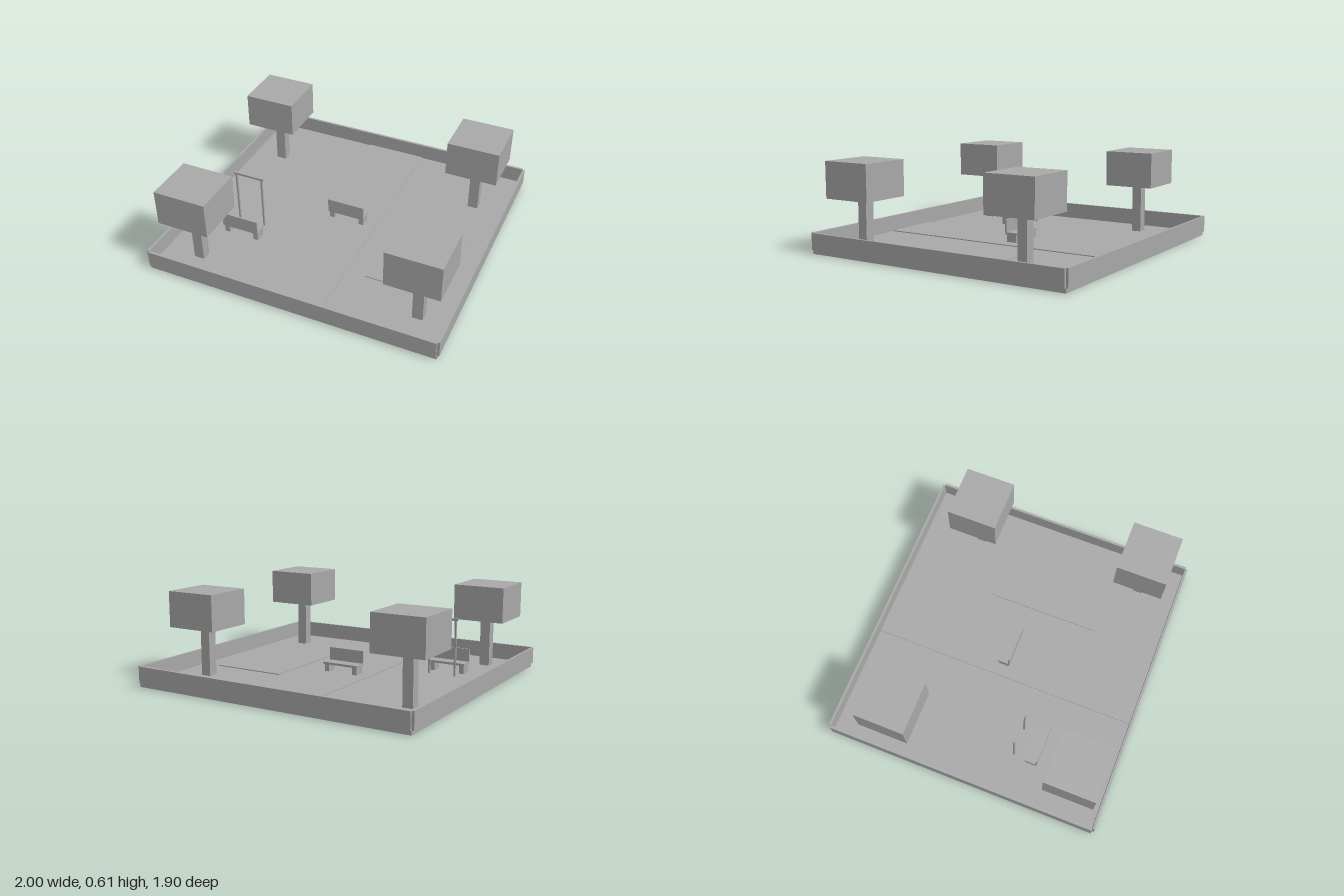
import * as THREE from 'three';

export function createModel() {
  const park = new THREE.Group();
  park.name = 'park';
  const grey = new THREE.MeshStandardMaterial({ color: 0xa8a8a8 });
  grey.name = 'plain grey';

  // Box given by its lowest and highest corner
  function box(parent, name, [x0, y0, z0], [x1, y1, z1]) {
    const mesh = new THREE.Mesh(new THREE.BoxGeometry(x1 - x0, y1 - y0, z1 - z0), grey);
    mesh.position.set((x0 + x1) / 2, (y0 + y1) / 2, (z0 + z1) / 2);
    mesh.name = name;
    parent.add(mesh);
  }
  function part(name, x = 0, z = 0) {
    const group = new THREE.Group();
    group.name = name;
    group.position.set(x, 0, z);
    park.add(group);
    return group;
  }

  const FLOOR = 0.028;
  const WALL_TOP = 0.139;

  // Ground slab with a raised path and a play area
  box(park, 'ground', [-0.987, 0, -0.937], [0.987, FLOOR, 0.937]);
  box(park, 'path', [-0.21, FLOOR, -0.935], [0.21, FLOOR + 0.006, 0.935]);
  box(park, 'playArea', [0.34, FLOOR, -0.3], [0.85, FLOOR + 0.006, 0.48]);

  // Four boundary walls, with notched corners
  const walls = part('boundaryWalls');
  box(walls, 'frontWall', [-0.984, FLOOR, 0.932], [0.984, WALL_TOP, 0.949]);
  box(walls, 'backWall', [-0.984, FLOOR, -0.949], [0.984, WALL_TOP, -0.932]);
  box(walls, 'leftWall', [0.983, FLOOR, -0.934], [1, WALL_TOP, 0.934]);
  box(walls, 'rightWall', [-1, FLOOR, -0.934], [-0.983, WALL_TOP, 0.934]);

  // Block trees
  for (const [x, z] of [[-0.77, -0.532], [0.748, -0.532], [-0.731, 0.718], [0.777, 0.666]]) {
    const tree = part('tree', x, z);
    box(tree, 'trunk', [-0.035, FLOOR, -0.033], [0.035, 0.364, 0.033]);
    box(tree, 'canopy', [-0.178, 0.364, -0.171], [0.178, 0.605, 0.171]);
  }

  // Benches with the backrest on the front side
  for (const [x, z] of [[-0.002, -0.026], [-0.59, 0.402]]) {
    const bench = part('bench', x, z);
    box(bench, 'seat', [-0.131, 0.085, -0.046], [0.131, 0.1, 0.046]);
    box(bench, 'backrest', [-0.131, 0.1, 0.037], [0.131, 0.187, 0.048]);
    for (const s of [-1, 1]) {
      box(bench, 'leg', [s * 0.108 - 0.017, FLOOR, -0.036], [s * 0.108 + 0.017, 0.085, 0.036]);
    }
  }

  // Bar frame: two posts and a crossbar
  const frame = part('barFrame', -0.596, 0.275);
  box(frame, 'crossbar', [-0.11, 0.406, -0.007], [0.11, 0.421, 0.007]);
  for (const s of [-1, 1]) {
    box(frame, 'post', [s * 0.094 - 0.006, FLOOR, -0.006], [s * 0.094 + 0.006, 0.406, 0.006]);
  }

  return park;
}
